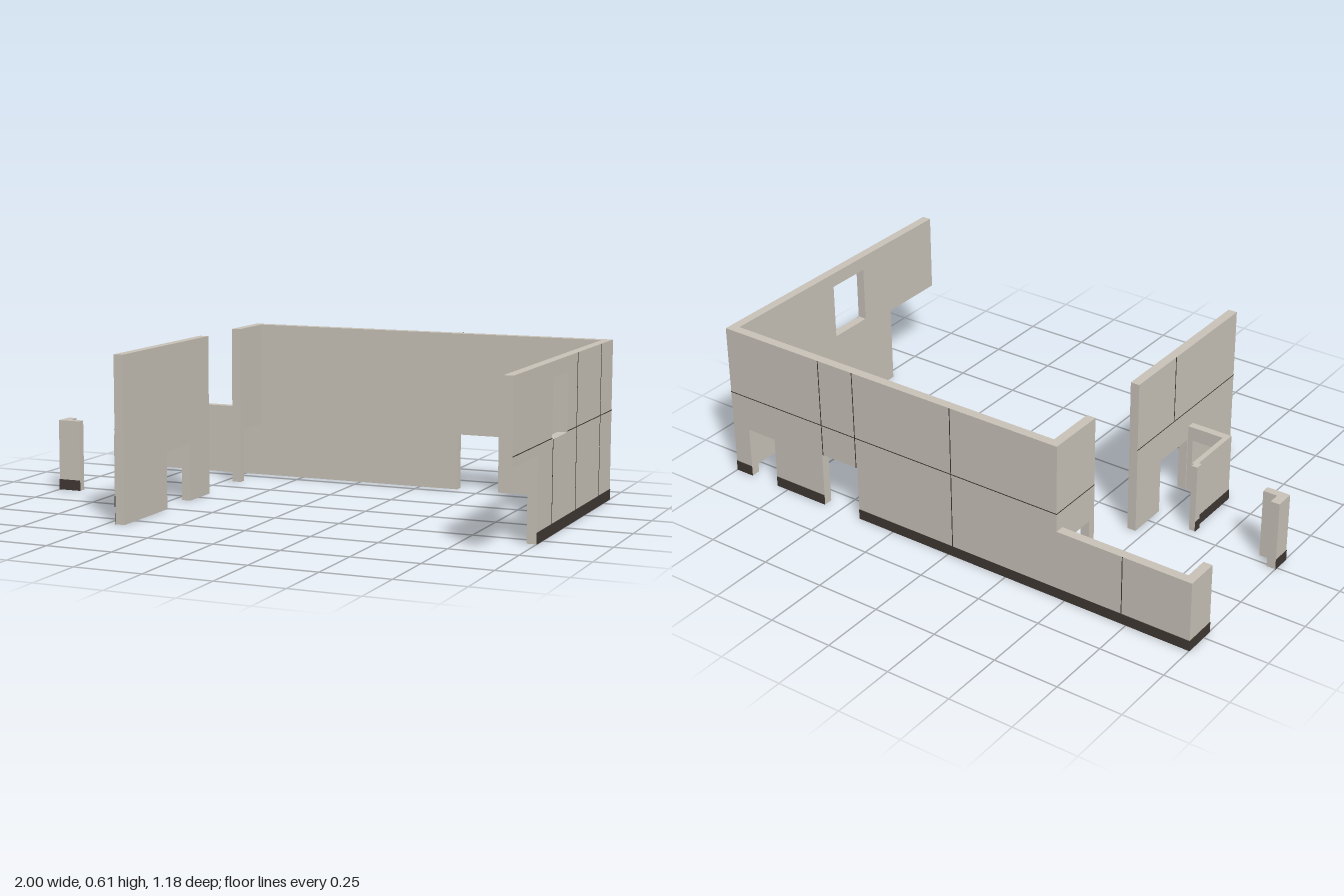
import * as THREE from 'three';

const wallMat = new THREE.MeshStandardMaterial({ color: 0xc8c2b8 });
wallMat.name = 'wall plaster';
const darkMat = new THREE.MeshStandardMaterial({ color: 0x403833 });
darkMat.name = 'dark plinth';

const LOW = 0.27, HIGH = 0.605, PLINTH = 0.04;

// Wall panel running along 'x' or 'z' from u0 to u1, between w0 and w1 in the
// other direction; doors are [from, to, height], windows [from, to, bottom, top].
function wall(name, along, u0, u1, w0, w1, height, doors = [], windows = []) {
  const shape = new THREE.Shape();
  let started = false;
  const add = (u, y) => {
    started ? shape.lineTo(u, y) : shape.moveTo(u, y);
    started = true;
  };
  if (!doors.some(d => d[0] === u0)) add(u0, 0);
  for (const [a, b, h] of doors) {
    if (a !== u0) add(a, 0);
    add(a, h);
    add(b, h);
    if (b !== u1) add(b, 0);
  }
  if (!doors.some(d => d[1] === u1)) add(u1, 0);
  add(u1, height);
  add(u0, height);
  shape.closePath();
  for (const [a, b, y0, y1] of windows) {
    const hole = new THREE.Path();
    hole.moveTo(a, y0).lineTo(a, y1).lineTo(b, y1).lineTo(b, y0).closePath();
    shape.holes.push(hole);
  }
  const geo = new THREE.ExtrudeGeometry(shape, { depth: w1 - w0, bevelEnabled: false });
  if (along === 'x') geo.translate(0, 0, w0);
  else geo.rotateY(-Math.PI / 2).translate(w1, 0, 0);
  const mesh = new THREE.Mesh(geo, wallMat);
  mesh.name = name;
  return mesh;
}

// Thin dark plate on a wall face; dir is the outward side of that face.
function plate(name, along, u0, u1, y0, y1, face, dir, t = 0.002) {
  const len = u1 - u0, mid = (u0 + u1) / 2, w = face + dir * t / 2;
  const geo = along === 'x'
    ? new THREE.BoxGeometry(len, y1 - y0, t).translate(mid, (y0 + y1) / 2, w)
    : new THREE.BoxGeometry(t, y1 - y0, len).translate(w, (y0 + y1) / 2, mid);
  const mesh = new THREE.Mesh(geo, darkMat);
  mesh.name = name;
  return mesh;
}

export function createModel() {
  const model = new THREE.Group();
  model.name = 'building walls';

  model.add(
    // Back wall: tall hall part and low annex part
    wall('backWall', 'x', -0.465, 1, -0.59, -0.555, HIGH, [[0.405, 0.57, 0.215], [0.8, 0.925, 0.2]]),
    wall('annexBackWall', 'x', -1, -0.465, -0.59, -0.555, LOW),
    wall('annexSideStub', 'z', -0.555, -0.46, -1, -0.965, LOW),
    // Side wall with window and open front corner
    wall('windowWall', 'z', -0.555, 0.585, 0.965, 1, HIGH, [[0.312, 0.585, 0.305]], [[-0.025, 0.155, 0.335, 0.55]]),
    // Partition between hall and annex
    wall('rearPartition', 'z', -0.555, -0.36, -0.465, -0.43, HIGH, [[-0.555, -0.39, 0.205]]),
    wall('frontPartition', 'z', -0.085, 0.585, -0.465, -0.43, HIGH, [[0.075, 0.26, 0.215]]),
    // Entrance porch
    wall('porchFront', 'x', -0.63, -0.465, 0.265, 0.295, LOW, [[-0.565, -0.485, 0.215]]),
    wall('porchSide', 'z', 0.05, 0.265, -0.63, -0.61, LOW),
    wall('porchJamb', 'x', -0.642, -0.618, 0.035, 0.065, LOW),
    // L-shaped corner pier
    wall('cornerPierFront', 'x', -1, -0.91, 0.035, 0.065, LOW),
    wall('cornerPierSide', 'z', 0.01 - 0.02, 0.035, -1, -0.965, LOW),
  );

  // Dark plinth along the outer faces
  const plinths = [
    ['x', -1, 0.405, -0.59, -1], ['x', 0.57, 0.8, -0.59, -1], ['x', 0.925, 1, -0.59, -1],
    ['z', -0.59, 0.312, 1, 1],
    ['z', -0.59, -0.46, -1, -1],
    ['z', -0.01, 0.065, -1, -1], ['x', -1, -0.91, 0.065, 1],
    ['z', 0.065, 0.295, -0.63, -1], ['z', 0.035, 0.065, -0.642, -1], ['x', -0.642, -0.618, 0.065, 1],
    ['x', -0.63, -0.565, 0.295, 1], ['x', -0.485, -0.465, 0.295, 1],
    ['z', 0.295, 0.585, -0.465, -1],
  ];
  for (const [along, u0, u1, face, dir] of plinths)
    model.add(plate('plinth', along, u0, u1, 0, PLINTH, face, dir));

  // Hairline panel joints: vertical [along, u, y0, y1, face, dir]
  const s = 0.0015;
  const verticals = [
    ['z', -0.435, PLINTH, HIGH, 1, 1], ['z', -0.135, PLINTH, HIGH, 1, 1], ['z', 0.145, PLINTH, 0.335, 1, 1],
    ['x', 0.565, 0.215, HIGH, -0.59, -1], ['x', 0.41, 0.215, HIGH, -0.59, -1],
    ['x', -0.02, PLINTH, HIGH, -0.59, -1], ['x', -0.73, PLINTH, LOW, -0.59, -1],
    ['z', 0.16, 0.34, HIGH, -0.465, -1],
  ];
  for (const [along, u, y0, y1, face, dir] of verticals)
    model.add(plate('panelJoint', along, u - s, u + s, y0, y1, face, dir, 0.001));

  // Horizontal joints, interrupted by the window
  const horizontals = [
    ['z', -0.59, -0.025, 1, 1], ['z', 0.155, 0.585, 1, 1],
    ['x', -0.465, 1, -0.59, -1],
    ['z', -0.59, -0.36, -0.465, -1], ['z', -0.085, 0.585, -0.465, -1],
  ];
  for (const [along, u0, u1, face, dir] of horizontals)
    model.add(plate('panelJoint', along, u0, u1, 0.34 - s, 0.34 + s, face, dir, 0.001));

  return model;
}
